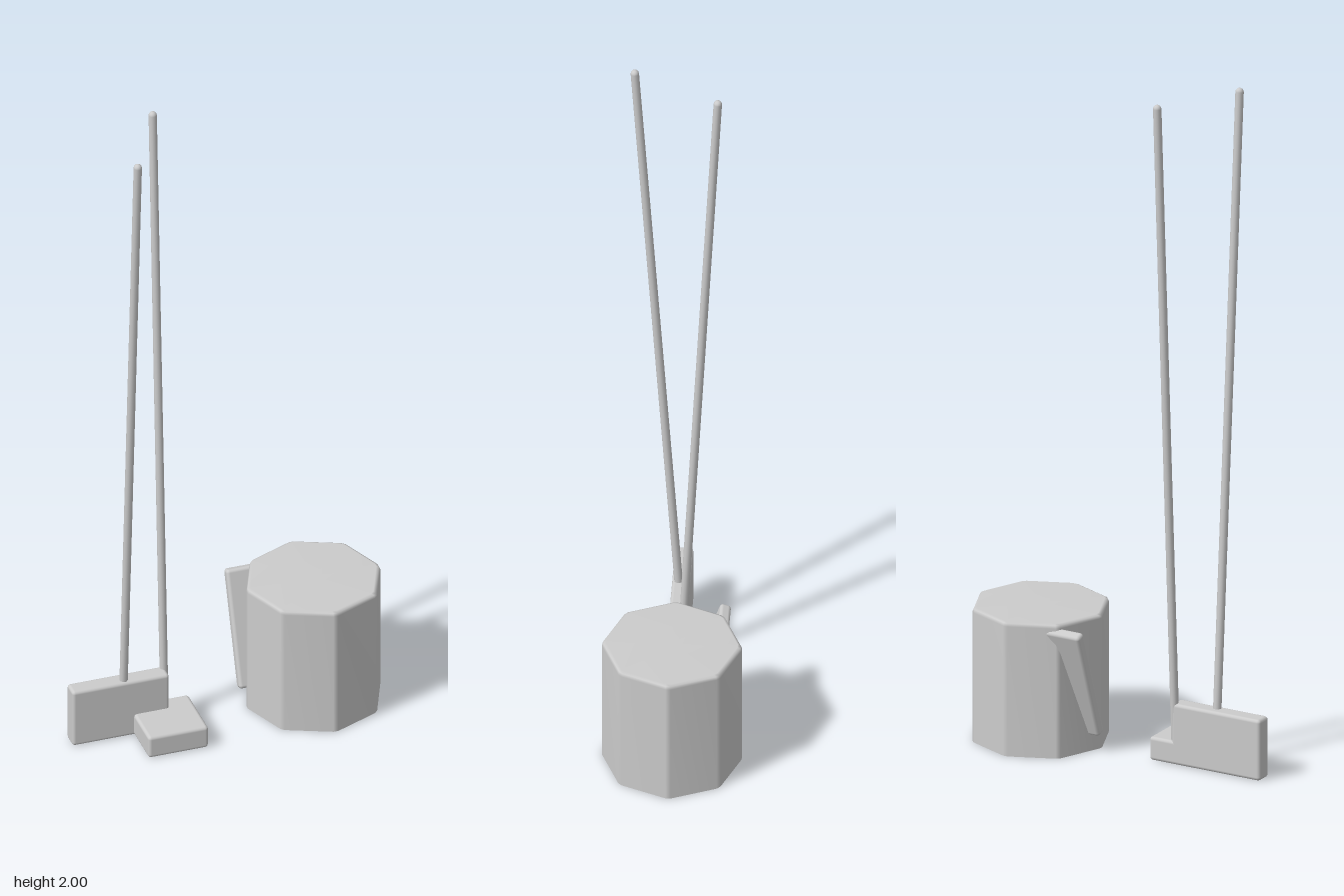
import * as THREE from 'three';
import { RoundedBoxGeometry } from 'three/addons/geometries/RoundedBoxGeometry.js';
import { mergeVertices } from 'three/addons/utils/BufferGeometryUtils.js';

const material = new THREE.MeshStandardMaterial({ color: 0xcccccc });
const openMaterial = new THREE.MeshStandardMaterial({ color: 0xcccccc, side: THREE.DoubleSide });

function mesh(name, geometry, mat = material) {
  const m = new THREE.Mesh(geometry, mat);
  m.name = name;
  return m;
}

// Softly bevelled block given by its two corners
function block(name, min, max) {
  const size = max.map((v, i) => v - min[i]);
  const m = mesh(name, new RoundedBoxGeometry(...size, 2, 0.01));
  m.position.set(...max.map((v, i) => (v + min[i]) / 2));
  return m;
}

// Thin rod with rounded ends between two points
function rod(name, from, to, radius = 0.012) {
  const a = new THREE.Vector3(...from), b = new THREE.Vector3(...to);
  const dir = b.clone().sub(a);
  const m = mesh(name, new THREE.CapsuleGeometry(radius, dir.length() - 2 * radius, 4, 12));
  m.position.copy(a).add(b).multiplyScalar(0.5);
  m.quaternion.setFromUnitVectors(new THREE.Vector3(0, 1, 0), dir.normalize());
  return m;
}

// Eight-sided shell, closed on top and open below, with cut corners and rim
function octagonShell(radius, height, bevel) {
  const profile = [
    [radius, 0], [radius, height - bevel],
    [radius - bevel * 0.3, height - bevel * 0.3],
    [radius - bevel, height], [0, height],
  ].map(([x, y]) => new THREE.Vector2(x, y));
  const geometry = new THREE.LatheGeometry(profile, 16);
  const pos = geometry.attributes.position;
  const corner = (k, r) => new THREE.Vector2(Math.sin(k * Math.PI / 4), Math.cos(k * Math.PI / 4)).multiplyScalar(r);
  // Pair up neighbouring columns on either side of each octagon corner
  for (let i = 0; i < pos.count; i++) {
    const column = Math.floor(i / profile.length) % 16;
    const k = Math.floor(column / 2);
    const r = profile[i % profile.length].x;
    const p = corner(k, r).lerp(corner(k + (column % 2 ? 1 : -1), r), 0.05);
    pos.setXYZ(i, p.x, pos.getY(i), p.y);
  }
  geometry.deleteAttribute('normal');
  geometry.deleteAttribute('uv');
  const welded = mergeVertices(geometry, 1e-5);
  welded.computeVertexNormals();
  return welded;
}

export function createModel() {
  const group = new THREE.Group();

  // Bucket, standing upside down
  const bucket = mesh('bucket', octagonShell(0.2, 0.4, 0.012), openMaterial);
  bucket.position.set(0.264, 0, 0);
  group.add(bucket);

  // Plank leaning through the bucket wall
  const plank = mesh('leaningPlank', new RoundedBoxGeometry(0.285, 0.35, 0.033, 2, 0.01));
  plank.position.set(0.191, 0.217, -0.0835);
  plank.rotation.x = -0.34;
  group.add(plank);

  // Two overlapping blocks, each with a long handle
  group.add(block('uprightBlock', [-0.464, 0, -0.02], [-0.175, 0.182, 0.032]));
  group.add(block('flatBlock', [-0.281, 0, -0.02], [-0.102, 0.07, 0.16]));
  group.add(rod('uprightBlockHandle', [-0.306, 0.01, 0.002], [-0.306, 2, 0.138]));
  group.add(rod('flatBlockHandle', [-0.179, 0.01, 0], [-0.179, 2, -0.105]));

  return group;
}
